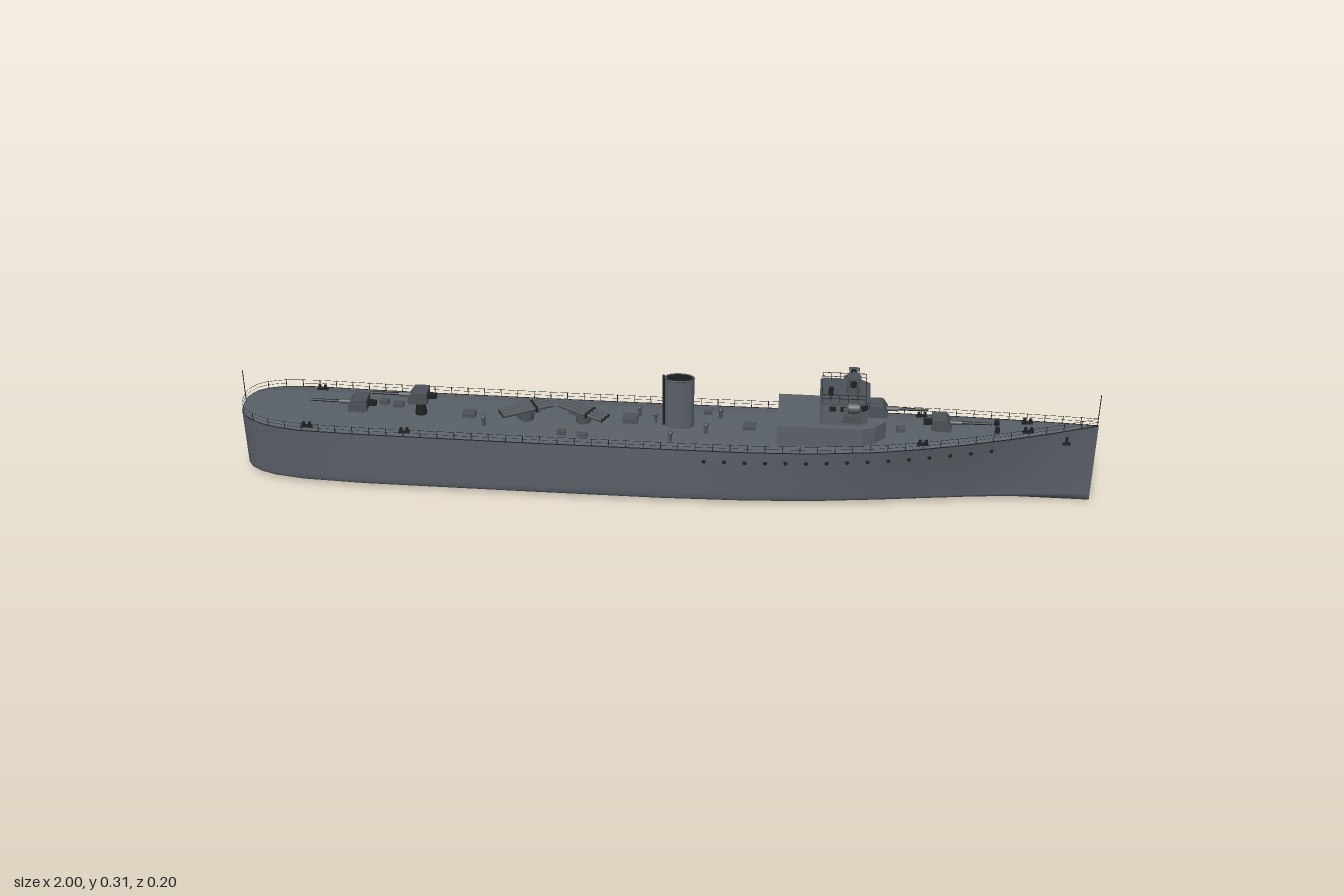
import * as THREE from 'three';
import { mergeGeometries } from 'three/addons/utils/BufferGeometryUtils.js';

const mat = (name, color, extra = {}) => Object.assign(new THREE.MeshStandardMaterial({ color, ...extra }), { name });

// Hull stations: x, deck half-width, bottom half-width, deck edge height
const ST = [
  [-1, 0, 0, 0.163], [-0.998, 0.03, 0.025, 0.163], [-0.985, 0.055, 0.046, 0.162], [-0.96, 0.075, 0.064, 0.16],
  [-0.92, 0.09, 0.079, 0.158], [-0.85, 0.099, 0.091, 0.155], [-0.7, 0.1, 0.098, 0.152], [-0.3, 0.1, 0.1, 0.15],
  [0, 0.1, 0.1, 0.15], [0.2, 0.1, 0.094, 0.151], [0.35, 0.097, 0.083, 0.154], [0.5, 0.087, 0.063, 0.16],
  [0.6, 0.076, 0.048, 0.167], [0.7, 0.061, 0.033, 0.175], [0.8, 0.043, 0.02, 0.184], [0.9, 0.023, 0.009, 0.194], [1, 0, 0, 0.205],
];
const lerp = THREE.MathUtils.lerp;
function station(x) {
  let i = 0;
  while (i < ST.length - 2 && x > ST[i + 1][0]) i++;
  const [a, b] = [ST[i], ST[i + 1]];
  const t = (x - a[0]) / (b[0] - a[0]);
  return a.map((v, k) => lerp(v, b[k], t));
}
function sideWidth([, wd, wb, yd], y) {
  return lerp(wb, wd, Math.pow(THREE.MathUtils.clamp((y - 0.03) / (yd - 0.03), 0, 1), 1.2));
}
const deckY = x => station(x)[3] + 0.005;

// Skin between cross-sections given as lists of [y, z]
function loft(section) {
  const pos = [], idx = [];
  let n = 0;
  ST.forEach(s => { const p = section(s); n = p.length; p.forEach(([y, z]) => pos.push(s[0], y, z)); });
  for (let i = 0; i < ST.length - 1; i++) for (let j = 0; j < n - 1; j++) {
    const a = i * n + j, b = a + n;
    idx.push(a, a + 1, b, a + 1, b + 1, b);
  }
  const g = new THREE.BufferGeometry();
  g.setAttribute('position', new THREE.Float32BufferAttribute(pos, 3));
  g.setIndex(idx);
  g.computeVertexNormals();
  return g;
}

export function createModel() {
  const root = new THREE.Group();
  root.name = 'warship';
  const grey = mat('hull grey', 0x5a6168);
  const flat = mat('deck grey', 0x5a6168, { flatShading: true });
  const fit = mat('fittings grey', 0x4c5258);
  const dark = mat('dark metal', 0x1e2123, { side: THREE.DoubleSide });

  const add = (name, geo, m, x = 0, y = 0, z = 0, parent = root) => {
    const mesh = new THREE.Mesh(geo, m);
    mesh.name = name;
    mesh.position.set(x, y, z);
    parent.add(mesh);
    return mesh;
  };
  const box = (w, h, d) => new THREE.BoxGeometry(w, h, d);
  const cyl = (r, h, n = 16, r2 = r) => new THREE.CylinderGeometry(r2, r, h, n);
  const group = (name, x, y, z, rot = 0) => {
    const g = new THREE.Group();
    g.name = name; g.position.set(x, y, z); g.rotation.y = rot;
    root.add(g);
    return g;
  };
  const prism = (pts, depth) => new THREE.ExtrudeGeometry(new THREE.Shape(pts.map(p => new THREE.Vector2(...p))),
    { depth, bevelEnabled: false }).translate(0, 0, -depth / 2);

  // Hull shell and cambered deck
  add('hull', loft(s => {
    const half = [1, 0.8, 0.6, 0.4].map(f => [s[3] * f, sideWidth(s, s[3] * f)]);
    half.push([0.032, s[2]], [0.018, s[2] * 0.985], [0.012, s[2] * 0.95], [0.007, s[2] * 0.6]);
    return [...half, [0, 0], ...half.map(([y, z]) => [y, -z]).reverse()];
  }), grey);
  add('deck', loft(([, w, , y]) => {
    const c = Math.min(1, w / 0.06);
    return [[y, -w], [y + 0.005 * c, -w * 0.72], [y + 0.006 * c, 0], [y + 0.005 * c, w * 0.72], [y, w]];
  }), flat);

  // Deck edge strip, guard rails and stanchions
  for (const s of [1, -1]) {
    const edge = dy => new THREE.CurvePath();
    const line = (dy, r) => {
      const path = edge();
      const pts = ST.map(([x, w, , y]) => new THREE.Vector3(x * 0.999, y + dy, s * w * 0.985));
      for (let i = 0; i < pts.length - 1; i++) path.add(new THREE.LineCurve3(pts[i], pts[i + 1]));
      return new THREE.TubeGeometry(path, 100, r, 4);
    };
    add('deckEdge', line(0, 0.0016), dark);
    add('railWires', mergeGeometries([line(0.019, 0.0005), line(0.01, 0.0004)]), dark);
    const posts = [];
    for (let x = -0.96; x < 0.98; x += 0.04) {
      const [, w, , y] = station(x);
      posts.push(box(0.0015, 0.02, 0.0015).translate(x, y + 0.01, s * w * 0.985));
    }
    add('railPosts', mergeGeometries(posts), dark);

    // Portholes
    const holes = [];
    for (let x = 0.1; x < 0.8; x += 0.047) {
      const st = station(x), y = st[3] - 0.028, ahead = station(x + 0.02);
      const turn = Math.atan2(sideWidth(st, y) - sideWidth(ahead, y), 0.02);
      holes.push(cyl(0.0048, 0.004, 10).rotateX(Math.PI / 2).rotateY(s * turn).translate(x, y, s * sideWidth(st, y)));
    }
    add('portholes', mergeGeometries(holes), dark);

    // Anchor in its recess
    const az = s * sideWidth(station(0.93), 0.168);
    add('anchor', mergeGeometries([box(0.006, 0.02, 0.005).translate(0, 0.002, 0), box(0.018, 0.006, 0.006).translate(0, -0.006, 0)]),
      dark, 0.93, 0.168, az);

    // Mooring bollards
    for (const x of [-0.83, -0.6, 0.6, 0.84]) {
      const [, w, , y] = station(x);
      const parts = [box(0.026, 0.003, 0.009)];
      for (const d of [-0.007, 0.007]) parts.push(cyl(0.0038, 0.011, 8).translate(d, 0.006, 0));
      add('bollard', mergeGeometries(parts), dark, x, y + 0.004, s * (w - 0.016));
    }
  }
  add('bowStaff', cyl(0.001, 0.085, 6), dark, 0.997, 0.245, 0);
  add('sternStaff', cyl(0.001, 0.09, 6), dark, -0.995, 0.207, 0);

  // Deckhouse with angled front, and bridge
  const plan = (pts, h) => new THREE.ExtrudeGeometry(new THREE.Shape([...pts, ...pts.slice().reverse().map(([x, z]) => [x, -z])]
    .map(p => new THREE.Vector2(...p))), { depth: h, bevelEnabled: false }).rotateX(-Math.PI / 2);
  add('deckhouse', plan([[0.265, 0.071], [0.46, 0.071], [0.49, 0.055], [0.515, 0.03]], 0.062), grey, 0, 0.148, 0);
  add('bridge', plan([[0.362, 0.048], [0.37, 0.055], [0.45, 0.055], [0.472, 0.04]], 0.058), grey, 0, 0.209, 0);
  add('bridgeRoof', plan([[0.36, 0.05], [0.368, 0.057], [0.452, 0.057], [0.475, 0.041]], 0.004), fit, 0, 0.264, 0);
  for (const z of [-0.03, -0.01, 0.01, 0.03]) add('bridgeWindow', box(0.003, 0.014, 0.016), dark, 0.472, 0.253, z);
  for (const s of [1, -1]) {
    add('cornerWindow', box(0.02, 0.014, 0.003), dark, 0.461, 0.253, s * 0.0475).rotation.y = s * 0.6;
    for (const x of [0.39, 0.415, 0.438]) add('sideWindow', box(0.015, 0.012, 0.003), dark, x, 0.253, s * 0.055);
    // Bridge wings with searchlights
    add('bridgeWing', box(0.04, 0.019, 0.036), fit, 0.435, 0.248, s * 0.072);
    add('lampPost', cyl(0.004, 0.012, 8), dark, 0.435, 0.26, s * 0.077);
    add('searchlight', cyl(0.0135, 0.024, 18).rotateZ(Math.PI / 2), fit, 0.437, 0.272, s * 0.077);
    add('searchlightLens', cyl(0.0115, 0.002, 18).rotateZ(Math.PI / 2), dark, 0.4495, 0.272, s * 0.077);
  }

  // Bridge-top railing
  const rail = [];
  for (const y of [0.277, 0.287]) for (const s of [1, -1]) {
    rail.push(box(0.1, 0.001, 0.001).translate(0.415, y, s * 0.049));
    rail.push(box(0.001, 0.001, 0.098).translate(0.415 + s * 0.05, y, 0));
  }
  for (let k = 0; k <= 5; k++) for (const s of [1, -1]) {
    rail.push(box(0.0013, 0.021, 0.0013).translate(0.365 + k * 0.02, 0.277, s * 0.049));
    rail.push(box(0.0013, 0.021, 0.0013).translate(0.415 + s * 0.05, 0.277, -0.049 + k * 0.0196));
  }
  add('bridgeRail', mergeGeometries(rail), dark);

  // Rangefinder director
  add('directorBase', cyl(0.016, 0.024, 16, 0.012), fit, 0.435, 0.278, 0);
  add('directorHead', box(0.03, 0.02, 0.026), fit, 0.435, 0.3, 0);
  add('rangefinder', cyl(0.0055, 0.056, 12).rotateX(Math.PI / 2), fit, 0.435, 0.303, 0);
  for (const s of [1, -1]) add('rangefinderEnd', cyl(0.0075, 0.008, 12).rotateX(Math.PI / 2), dark, 0.435, 0.303, s * 0.027);
  add('compass', cyl(0.006, 0.02, 10), dark, 0.385, 0.277, 0.018);

  // Main guns on pedestals
  const gun = (x, base, top, rot) => {
    const g = group('gun', x, base, 0, rot);
    const h = top - base;
    add('pedestal', cyl(0.014, h, 14, 0.01), dark, 0, h / 2, 0, g);
    add('gunShield', prism([[-0.02, 0.002], [0.024, 0], [0.026, 0.012], [0.014, 0.03], [-0.02, 0.03]], 0.042), fit, 0, h, 0, g);
    add('breech', box(0.022, 0.01, 0.014), dark, -0.028, h + 0.014, 0, g);
    add('barrel', cyl(0.0042, 0.1, 10, 0.0028).rotateZ(-Math.PI / 2), dark, 0.068, h + 0.015, 0, g);
    add('barrelSleeve', cyl(0.006, 0.03, 10).rotateZ(-Math.PI / 2), fit, 0.034, h + 0.015, 0, g);
  };
  gun(0.64, deckY(0.64), 0.182, 0);
  gun(0.492, 0.205, 0.212, 0);
  gun(-0.575, deckY(-0.575), 0.192, Math.PI);
  gun(-0.72, deckY(-0.72), 0.165, Math.PI);

  // Elliptical funnel, open at the top, with steam pipe
  const oval = (geo, m, name, y) => { const o = add(name, geo, m, 0.036, y, 0); o.scale.z = 0.55; return o; };
  oval(new THREE.CylinderGeometry(0.034, 0.034, 0.135, 32, 1, true), grey, 'funnel', 0.217);
  oval(new THREE.CylinderGeometry(0.031, 0.031, 0.04, 32, 1, true), dark, 'funnelLining', 0.264);
  oval(new THREE.CircleGeometry(0.033, 32).rotateX(-Math.PI / 2), dark, 'funnelMouth', 0.266);
  oval(new THREE.TorusGeometry(0.0335, 0.002, 6, 32).rotateX(Math.PI / 2), fit, 'funnelRim', 0.284);
  add('steamPipe', cyl(0.003, 0.137, 8), dark, -0.001, 0.221, 0);

  // Triple torpedo tubes, trained off the centreline
  for (const [x, rot] of [[-0.325, 0.5], [-0.19, -0.5]]) {
    const g = group('torpedoMount', x, 0.155, 0, rot);
    add('turntable', cyl(0.018, 0.022, 18), fit, 0, 0.011, 0, g);
    add('tubeCradle', box(0.06, 0.005, 0.036), fit, 0, 0.022, 0, g);
    for (const z of [-0.012, 0, 0.012]) {
      add('torpedoTube', cyl(0.0055, 0.125, 12).rotateZ(Math.PI / 2), fit, 0, 0.029, z, g);
      add('tubeMouth', cyl(0.0045, 0.126, 12).rotateZ(Math.PI / 2), dark, 0, 0.029, z, g);
    }
    add('tubeBand', box(0.005, 0.013, 0.038), dark, 0.02, 0.029, 0, g);
  }

  // Hatches, lockers and ventilators: x, z, length, height, width
  for (const [x, z, l, h, w] of [[-0.67, -0.035, 0.022, 0.012, 0.016], [-0.635, -0.028, 0.025, 0.01, 0.02],
    [-0.46, 0, 0.03, 0.012, 0.024], [-0.235, 0.06, 0.02, 0.012, 0.014], [-0.185, 0.066, 0.026, 0.01, 0.012],
    [-0.08, -0.01, 0.035, 0.014, 0.03], [0.1, -0.055, 0.02, 0.012, 0.012], [0.2, 0, 0.03, 0.012, 0.024], [0.55, 0, 0.02, 0.01, 0.02]])
    add('deckLocker', box(l, h, w), fit, x, deckY(x) + h / 2 - 0.002, z);
  for (const [x, z] of [[-0.06, -0.035], [-0.02, -0.01], [0.02, 0.068], [0.1, 0.03], [0.13, -0.04], [-0.42, 0.04]]) {
    add('ventilator', cyl(0.004, 0.022, 10), fit, x, deckY(x) + 0.009, z);
    add('ventilatorCap', new THREE.SphereGeometry(0.0062, 12, 8), fit, x, deckY(x) + 0.021, z);
  }
  // Anchor capstans on the forecastle
  for (const s of [1, -1]) add('capstan', cyl(0.007, 0.014, 12, 0.005), dark, 0.77, deckY(0.77) + 0.005, s * 0.016);
  return root;
}
